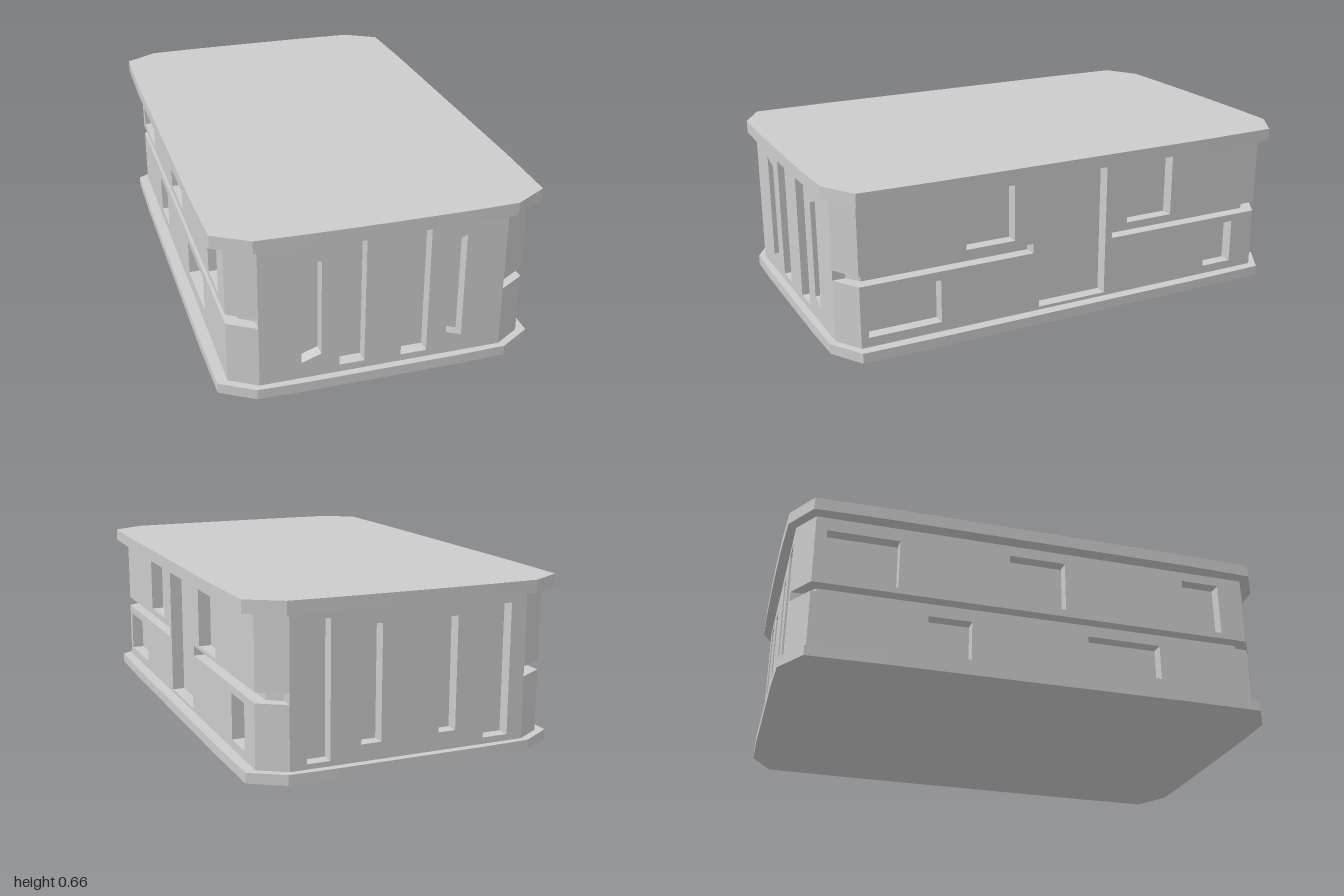
import * as THREE from 'three';

const material = new THREE.MeshStandardMaterial({ color: 0xcccccc, flatShading: true });
const BASE = 0.04, EAVE = 0.61;            // wall bottom and top
const GROOVE_LOW = 0.285, GROOVE_HIGH = 0.325;
const DEPTH = 0.05;                        // depth of every recess

const toPoints = (list) => list.map(([x, y]) => new THREE.Vector2(x, y));
const rect = (u0, u1, y0, y1) => [[u0, y0], [u1, y0], [u1, y1], [u0, y1]];

// Horizontal slab between two heights, from an (x, z) outline
function slab(name, outline, y0, y1) {
  const shape = new THREE.Shape(toPoints(outline.map(([x, z]) => [x, -z])));
  const geometry = new THREE.ExtrudeGeometry(shape, { depth: y1 - y0, bevelEnabled: false });
  geometry.rotateX(-Math.PI / 2).translate(0, y0, 0);
  const mesh = new THREE.Mesh(geometry, material);
  mesh.name = name;
  return mesh;
}

// Full outline mirrored from the points of the +x +z quarter (listed from front to side)
function mirrored(quarter) {
  const half = [...quarter, ...quarter.map(([x, z]) => [x, -z]).reverse()];
  return [...half, ...half.map(([x, z]) => [-x, z]).reverse()];
}

// Vertical wall panel with cut-outs, facing +z before it is turned
function wall(name, outline, holes, distance, angle) {
  const shape = new THREE.Shape(toPoints(outline));
  shape.holes = holes.map((h) => new THREE.Path(toPoints(h)));
  const geometry = new THREE.ExtrudeGeometry(shape, { depth: DEPTH, bevelEnabled: false });
  geometry.translate(0, 0, distance).rotateY(angle);
  const mesh = new THREE.Mesh(geometry, material);
  mesh.name = name;
  return mesh;
}

export function createModel() {
  const model = new THREE.Group();
  model.name = 'building';

  // Overhanging plates, with slightly bowed edges
  model.add(slab('basePlate',
    mirrored([[0.3, 0.99], [0.49, 0.985], [0.62, 0.905], [0.625, 0.6]]), 0, BASE));
  model.add(slab('roofPlate',
    mirrored([[0.06, 1], [0.3, 0.998], [0.495, 0.992], [0.63, 0.91], [0.637, 0.6]]), EAVE, 0.66));

  // Inner core: the floor of all recesses and grooves
  model.add(slab('core', mirrored([[0.475, 0.91], [0.53, 0.87]]), BASE, EAVE));

  // Chamfered corners, split by the groove
  for (const sx of [1, -1]) for (const sz of [1, -1]) {
    const corner = [[0.475, 0.96], [0.58, 0.895], [0.53, 0.87], [0.475, 0.91]]
      .map(([x, z]) => [sx * x, sz * z]);
    model.add(slab('lowerCorner', corner, BASE, GROOVE_LOW));
    model.add(slab('upperCorner', corner, GROOVE_HIGH, EAVE));
  }

  // End walls with tall slots
  const end = rect(-0.475, 0.475, BASE, EAVE);
  model.add(wall('frontWall', end, [
    [[-0.315, 0.107], [-0.24, 0.133], [-0.24, 0.52], [-0.315, 0.545]],
    rect(-0.17, -0.072, 0.07, 0.58),
    rect(0.072, 0.175, 0.067, 0.585),
    [[0.252, 0.133], [0.315, 0.11], [0.315, 0.542], [0.252, 0.52]],
  ], 0.91, 0));
  model.add(wall('backWall', end, [
    rect(-0.41, -0.32, 0.06, 0.58),
    rect(-0.2, -0.12, 0.105, 0.545),
    rect(0.115, 0.185, 0.11, 0.545),
    rect(0.305, 0.41, 0.065, 0.575),
  ], 0.91, Math.PI));

  // Right wall: doorway between two grooves
  const L = 0.895, G = 0.18;
  model.add(wall('rightWall', [
    [-L, BASE], [L, BASE], [L, GROOVE_LOW], [G, GROOVE_LOW], [G, GROOVE_HIGH], [L, GROOVE_HIGH],
    [L, EAVE], [-L, EAVE], [-L, GROOVE_HIGH], [-G, GROOVE_HIGH], [-G, GROOVE_LOW], [-L, GROOVE_LOW],
  ], [
    rect(-0.153, 0.15, 0.053, 0.6),
    rect(-0.465, -0.26, 0.352, 0.577),
    rect(0.25, 0.462, 0.34, 0.59),
    rect(-0.865, -0.572, 0.078, 0.25),
    rect(0.645, 0.785, 0.075, 0.255),
  ], 0.53, Math.PI / 2));

  // Left wall: two bands of windows with a continuous groove between
  model.add(wall('leftLowerWall', rect(-L, L, BASE, GROOVE_LOW), [
    rect(-0.446, -0.274, 0.085, 0.245),
    rect(0.2, 0.504, 0.105, 0.25),
  ], 0.53, -Math.PI / 2));
  model.add(wall('leftUpperWall', rect(-L, L, GROOVE_HIGH, EAVE), [
    rect(-0.85, -0.566, 0.35, 0.555),
    rect(-0.122, 0.11, 0.355, 0.565),
    rect(0.625, 0.787, 0.35, 0.57),
  ], 0.53, -Math.PI / 2));

  return model;
}
